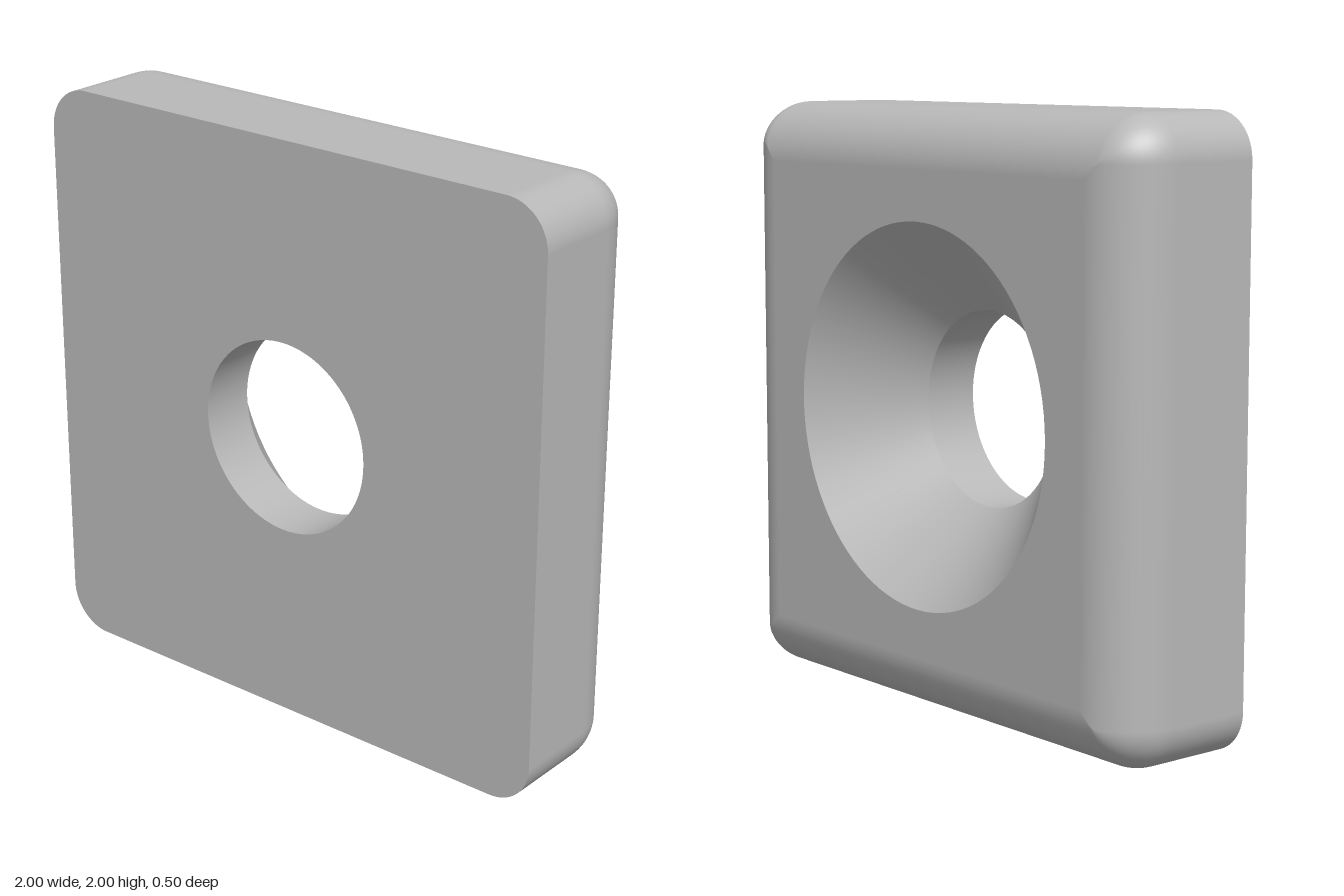
import * as THREE from 'three';

const HALF = 1, FRONT = 0.25, BACK = -0.25;
const CORNER = 0.15, FILLET = 0.2;          // outline corner radius, rear edge radius
const HOLE = 0.33, SINK = 0.635;            // bore radius, countersink rim radius
const STEPS = 16, SEGMENTS = 96;

// Rounded-square outline moved inward by inset, with the outward angle of each point
function outline(inset) {
  const r = Math.max(CORNER - inset, 0), c = HALF - inset - r, points = [];
  for (let k = 0; k < 4; k++) {
    const sx = k === 0 || k === 3 ? 1 : -1, sy = k < 2 ? 1 : -1;
    for (let i = 0; i <= STEPS; i++) {
      const angle = (k + i / STEPS) * Math.PI / 2;
      points.push({ x: sx * c + r * Math.cos(angle), y: sy * c + r * Math.sin(angle), angle });
    }
  }
  points.push(points[0]);
  return points;
}

// Straight sides running into the rounded rear edge
function rimGeometry() {
  const layers = [{ inset: 0, z: FRONT, tilt: 0 }];
  for (let i = 0; i <= STEPS; i++) {
    const tilt = i / STEPS * Math.PI / 2;
    layers.push({ inset: FILLET * (1 - Math.cos(tilt)), z: BACK + FILLET * (1 - Math.sin(tilt)), tilt });
  }
  const position = [], normal = [], index = [];
  const n = 4 * (STEPS + 1) + 1;
  layers.forEach(({ inset, z, tilt }, row) => {
    outline(inset).forEach(({ x, y, angle }, col) => {
      position.push(x, y, z);
      normal.push(Math.cos(tilt) * Math.cos(angle), Math.cos(tilt) * Math.sin(angle), -Math.sin(tilt));
      if (row < layers.length - 1 && col < n - 1) {
        const a = row * n + col, b = a + 1, c = a + n, d = c + 1;
        index.push(a, c, b, b, c, d);
      }
    });
  });
  const geometry = new THREE.BufferGeometry();
  geometry.setAttribute('position', new THREE.Float32BufferAttribute(position, 3));
  geometry.setAttribute('normal', new THREE.Float32BufferAttribute(normal, 3));
  geometry.setIndex(index);
  return geometry;
}

// Flat face with a round opening
function faceGeometry(inset, radius) {
  const points = inset < CORNER
    ? outline(inset).slice(0, -1).map(p => new THREE.Vector2(p.x, p.y))
    : [[1, 1], [-1, 1], [-1, -1], [1, -1]].map(([x, y]) => new THREE.Vector2(x * (HALF - inset), y * (HALF - inset)));
  const shape = new THREE.Shape(points);
  shape.holes.push(new THREE.Path().absarc(0, 0, radius, 0, Math.PI * 2, true));
  return new THREE.ShapeGeometry(shape, SEGMENTS / 2);
}

// Inward-facing wall of revolution about z
function wallGeometry(r1, z1, r2, z2) {
  const profile = [new THREE.Vector2(r1, z1), new THREE.Vector2(r2, z2)];
  return new THREE.LatheGeometry(profile, SEGMENTS).rotateX(Math.PI / 2);
}

export function createModel() {
  const grey = new THREE.MeshStandardMaterial({ color: 0xb8b8b8, side: THREE.DoubleSide });
  grey.name = 'grey';
  const model = new THREE.Group();
  model.name = 'countersunkPlate';
  const add = (name, geometry) => {
    const mesh = new THREE.Mesh(geometry, grey);
    mesh.name = name;
    mesh.position.y = HALF;
    model.add(mesh);
  };

  const sinkFloor = BACK + SINK - HOLE;     // 45 degree countersink
  add('roundedRim', rimGeometry());
  add('frontFace', faceGeometry(0, HOLE).translate(0, 0, FRONT));
  add('backFace', faceGeometry(FILLET, SINK).rotateY(Math.PI).translate(0, 0, BACK));
  add('bore', wallGeometry(HOLE, FRONT, HOLE, sinkFloor));
  add('countersink', wallGeometry(HOLE, sinkFloor, SINK, BACK));
  return model;
}
